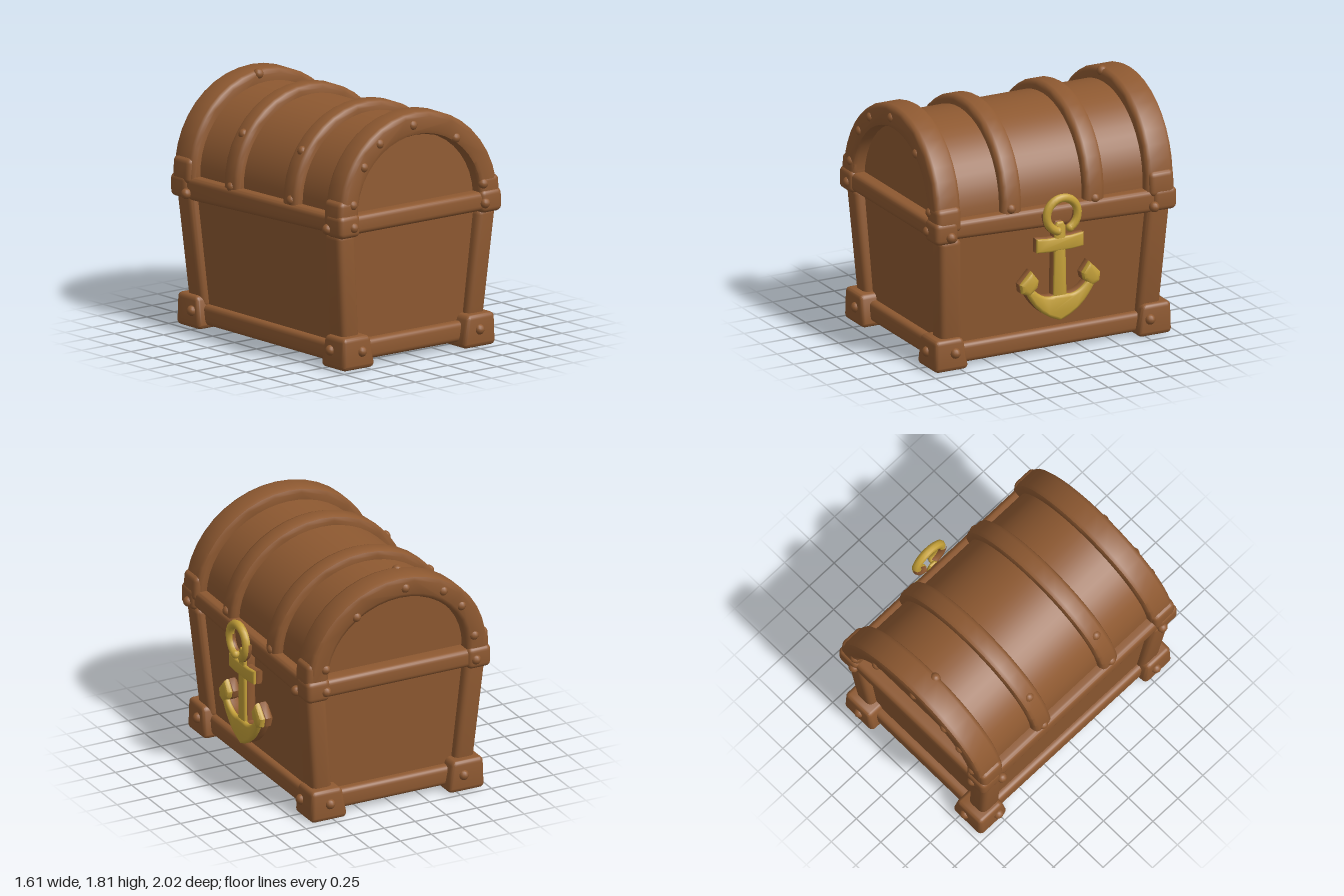
import * as THREE from 'three';
import { toCreasedNormals } from 'three/addons/utils/BufferGeometryUtils.js';
import { RoundedBoxGeometry } from 'three/addons/geometries/RoundedBoxGeometry.js';

const wood = new THREE.MeshStandardMaterial({ color: 0x8e5931 });
wood.name = 'brown wood';
const gold = new THREE.MeshStandardMaterial({ color: 0xc4a038 });
gold.name = 'gold';

// Move every vertex by a rule, then rebuild smooth normals with sharp creases
function warp(geo, rule = () => {}) {
  const p = geo.attributes.position, v = new THREE.Vector3();
  for (let i = 0; i < p.count; i++) {
    v.fromBufferAttribute(p, i);
    rule(v);
    p.setXYZ(i, v.x, v.y, v.z);
  }
  return toCreasedNormals(geo, 0.8);
}

function add(parent, name, geo, mat = wood) {
  const mesh = new THREE.Mesh(geo, mat);
  mesh.name = name;
  parent.add(mesh);
  return mesh;
}

const beam = (w, h, d, r = 0.04) => new RoundedBoxGeometry(w, h, d, 3, r);

function extrude(shape, depth, bevel, segments = 2) {
  return new THREE.ExtrudeGeometry(shape, {
    depth: depth - 2 * bevel, bevelEnabled: bevel > 0, bevelThickness: bevel,
    bevelSize: bevel, bevelOffset: -bevel, bevelSegments: segments, curveSegments: 10,
  }).translate(0, 0, bevel);
}

// Half ellipse points, right to left
function halfEllipse(rx, ry, n = 20) {
  return Array.from({ length: n + 1 }, (_, i) => {
    const a = Math.PI * i / n;
    return new THREE.Vector2(rx * Math.cos(a), ry * Math.sin(a));
  });
}

function archShape(rx, ry, ix, iy) {
  const V = (x) => new THREE.Vector2(x, -0.06);
  return new THREE.Shape([V(rx), ...halfEllipse(rx, ry), V(-rx),
    V(-ix), ...halfEllipse(ix, iy).reverse(), V(ix)]);
}

function makeBody() {
  const body = new THREE.Group();
  body.name = 'body';
  // Panelled box, narrower at the bottom
  const box = new THREE.BoxGeometry(2, 1, 2).translate(0, 0.5, 0);
  add(body, 'bodyPanels', warp(box, (v) => {
    const t = v.y;
    v.set(v.x * (0.585 + 0.085 * t), 0.09 + t * 0.98, v.z * (0.825 + 0.04 * t));
  }));
  for (const s of [-1, 1]) {
    // Bottom frame
    const side = add(body, 'bottomSideBeam', warp(beam(0.13, 0.15, 1.7)));
    side.position.set(s * 0.575, 0.105, 0);
    const end = add(body, 'bottomEndBeam', warp(beam(1.15, 0.15, 0.13)));
    end.position.set(0, 0.12, s * 0.825);
    for (const z of [-1, 1]) {
      // Leaning corner post
      const post = beam(0.16, 0.86, 0.18, 0.045).translate(0, 0.58, 0);
      add(body, 'cornerPost', warp(post, (v) => {
        const t = (v.y - 0.2) / 0.8;
        v.x += s * (0.57 + 0.075 * t);
        v.z += z * (0.8 + 0.045 * t);
      }));
      // Foot block, tapering towards the top
      const foot = beam(0.29, 0.24, 0.27, 0.035).translate(0, 0.125, 0);
      add(body, 'cornerFoot', warp(foot, (v) => {
        const k = 1 - 0.16 * Math.max(0, (v.y - 0.08) / 0.16);
        v.x = s * 0.555 + (v.x - s * 0.1) * k + s * 0.1;
        v.z = z * 0.825 + (v.z - z * 0.1) * k + z * 0.1;
      }));
    }
  }
  return body;
}

function makeRim() {
  const rim = new THREE.Group();
  rim.name = 'rim';
  // Side beams grow a little deeper towards the back
  const deepen = (v) => { if (v.y < 0) v.y += 0.02 * v.z - 0.005; };
  for (const s of [-1, 1]) {
    add(rim, 'rimSideBeam', warp(beam(0.16, 0.15, 1.8), deepen)).position.x = s * 0.645;
    add(rim, 'rimEndBeam', warp(beam(1.3, 0.14, 0.16))).position.z = s * 0.885;
    for (const z of [-1, 1])
      add(rim, 'rimCorner', warp(beam(0.19, 0.17, 0.19))).position.set(s * 0.65, 0, z * 0.885);
  }
  rim.position.y = 1.055;
  rim.rotation.x = -0.016;
  return rim;
}

function makeLid() {
  const lid = new THREE.Group();
  lid.name = 'lid';
  const lean = (v) => { v.z -= 0.05 * v.y; };
  // Barrel vault
  const vault = extrude(new THREE.Shape(halfEllipse(0.645, 0.6, 24)), 1.73, 0);
  add(lid, 'lidVault', warp(vault.translate(0, 0, -0.865), lean));
  // Ribs: back z, depth, outer rx and ry
  const ribs = [[-0.965, 0.22, 0.72, 0.69], [-0.41, 0.16, 0.71, 0.67],
    [0.26, 0.16, 0.71, 0.67], [0.76, 0.205, 0.72, 0.69]];
  for (const [z, d, rx, ry] of ribs) {
    const arch = extrude(archShape(rx, ry, 0.56, 0.52), d, 0.035);
    add(lid, 'lidRib', warp(arch.translate(0, 0, z), lean));
  }
  // Blocks where the end ribs meet the rim, sloping in towards the top
  for (const x of [-1, 1]) for (const z of [-1, 1]) {
    const block = warp(beam(0.18, 0.19, 0.2), (v) => { v.x -= x * 0.06 * (v.y + 0.09); });
    add(lid, 'ribFoot', block).position.set(x * 0.652, 0.04, z * 0.863);
  }
  lid.position.y = 1.12;
  return lid;
}

function makeRivets() {
  const rivets = new THREE.Group();
  rivets.name = 'rivets';
  const ball = new THREE.SphereGeometry(0.039, 12, 8);
  const put = (x, y, z) => add(rivets, 'rivet', ball).position.set(x, y, z);
  // Along both end arches
  const arch = [[-0.61, 1.22], [-0.5, 1.48], [-0.35, 1.63], [-0.04, 1.72], [0.35, 1.57], [0.59, 1.2]];
  for (const [x, y] of arch) {
    const dz = 0.05 * (y - 1.12);
    put(x, y, 0.946 - dz);
    put(x, y, -0.946 - dz);
  }
  for (const s of [-1, 1]) {
    for (const x of [-0.62, 0.59]) put(x, s > 0 ? 1.06 : 1.03, s * 0.965);
    for (const x of [-0.53, 0.55]) put(x, 0.135, s * 0.95);
    // Long sides
    put(s * 0.695, 0.14, 0.8);
    put(s * 0.695, 0.135, -0.78);
    put(s * 0.74, 1.04, s > 0 ? 0.86 : 0.82);
    put(s * 0.74, 1.0, -0.79);
    put(s * 0.69, 1.16, 0.35);
    put(s * 0.69, 1.13, -0.33);
  }
  // On top of the ribs
  put(-0.565, 1.495, 0.32);
  put(-0.565, 1.495, -0.35);
  put(-0.07, 1.78, -0.8);
  return rivets;
}

function makeAnchor() {
  const anchor = new THREE.Group();
  anchor.name = 'anchor';
  const poly = (pts) => new THREE.Shape(pts.map(([x, y]) => new THREE.Vector2(x, y)));
  // Each piece has a brown core with a bevelled gold face
  function piece(name, shape, x0, x1, face = 0.03) {
    const place = (g, x) => warp(g.rotateY(Math.PI / 2).translate(x, 0, 0));
    add(anchor, name + 'Core', place(extrude(shape, x1 - x0 - face / 2, 0.02, 1), x0));
    add(anchor, name, place(extrude(shape, face, face * 0.48), x1 - face), gold);
  }
  piece('shank', poly([[-0.055, 0.38], [0.055, 0.38], [0.045, 0.9], [0.045, 0.99],
    [0.025, 1.025], [-0.025, 1.025], [-0.045, 0.99], [-0.045, 0.9]]), 0.655, 0.755);
  piece('crossbar', poly([[-0.19, 0.815], [-0.09, 0.805], [0.09, 0.805], [0.19, 0.815],
    [0.19, 0.92], [0.09, 0.91], [-0.09, 0.91], [-0.19, 0.92]]), 0.67, 0.757);
  const arms = new THREE.Shape();
  arms.moveTo(0, 0.28);
  arms.quadraticCurveTo(0.19, 0.34, 0.28, 0.53);
  arms.lineTo(0.22, 0.55);
  arms.quadraticCurveTo(0.13, 0.45, 0.045, 0.475);
  arms.lineTo(-0.045, 0.475);
  arms.quadraticCurveTo(-0.13, 0.45, -0.22, 0.55);
  arms.lineTo(-0.28, 0.53);
  arms.quadraticCurveTo(-0.19, 0.34, 0, 0.28);
  piece('arms', arms, 0.655, 0.767, 0.045);
  const fluke = [[0.235, 0.69], [0.175, 0.61], [0.185, 0.56], [0.25, 0.5], [0.315, 0.53], [0.325, 0.595]];
  piece('leftFluke', poly(fluke), 0.66, 0.775, 0.065);
  piece('rightFluke', poly(fluke.map(([x, y]) => [-x, y]).reverse()), 0.66, 0.775, 0.065);
  // Open ring around the shank's head, brown behind its lower half
  const arc = (tube, from, to) => new THREE.TorusGeometry(0.125, tube, 8, 24, (to - from) * Math.PI)
    .rotateZ(from * Math.PI).rotateY(Math.PI / 2);
  add(anchor, 'ring', arc(0.032, -0.33, 1.4), gold).position.set(0.778, 1.09, 0);
  for (const [from, to] of [[-0.34, 0.05], [0.95, 1.41]])
    add(anchor, 'ringBack', arc(0.033, from, to)).position.set(0.768, 1.09, 0);
  // Round caps closing the ring's ends
  for (const a of [-0.33, 1.4]) {
    const tip = add(anchor, 'ringTip', new THREE.SphereGeometry(0.032, 10, 8), gold);
    tip.position.set(0.778, 1.09 + 0.125 * Math.sin(a * Math.PI), -0.125 * Math.cos(a * Math.PI));
  }
  anchor.position.z = -0.012;
  return anchor;
}

export function createModel() {
  const model = new THREE.Group();
  model.name = 'treasureChest';
  const chest = new THREE.Group();
  chest.name = 'chest';
  chest.add(makeBody(), makeRim(), makeLid(), makeRivets());
  chest.position.x = -0.02;
  model.add(chest, makeAnchor());
  return model;
}
